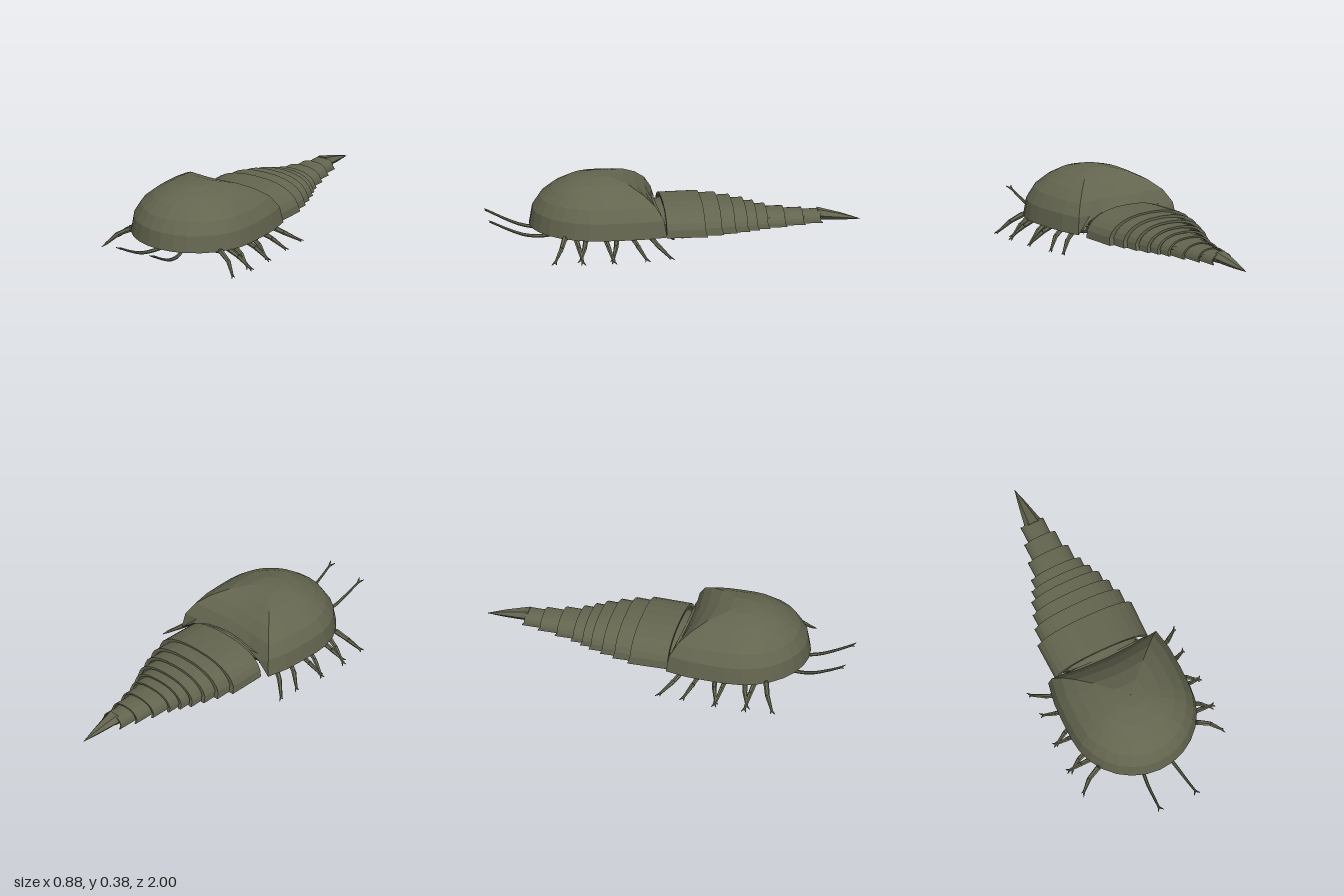
import * as THREE from 'three';

const shell = new THREE.MeshStandardMaterial({ color: 0x63654f, flatShading: true, side: THREE.DoubleSide });
shell.name = 'olive shell';
const V = (x, y, z) => new THREE.Vector3(x, y, z);

// Skin a list of equal-length closed rings; ends may be capped with fans
function loft(name, rings, capStart = true, capEnd = true) {
  const pos = [], n = rings[0].length;
  const tri = (...pts) => pts.forEach(p => pos.push(p.x, p.y, p.z));
  for (let k = 0; k < rings.length - 1; k++) {
    const a = rings[k], b = rings[k + 1];
    for (let i = 0; i < n; i++) {
      const j = (i + 1) % n;
      tri(a[i], a[j], b[j]);
      tri(a[i], b[j], b[i]);
    }
  }
  const cap = (r, flip) => {
    for (let i = 1; i < n - 1; i++) flip ? tri(r[0], r[i + 1], r[i]) : tri(r[0], r[i], r[i + 1]);
  };
  if (capStart) cap(rings[0], true);
  if (capEnd) cap(rings[rings.length - 1], false);
  const g = new THREE.BufferGeometry();
  g.setAttribute('position', new THREE.Float32BufferAttribute(pos, 3));
  g.computeVertexNormals();
  const m = new THREE.Mesh(g, shell);
  m.name = name;
  return m;
}

// Tapered limb through points, with one radius per point
function limb(name, pts, radii, flat = 1, sides = 6) {
  return loft(name, pts.map((p, k) => {
    const t = pts[Math.min(k + 1, pts.length - 1)].clone().sub(pts[Math.max(k - 1, 0)]).normalize();
    const u = V(0, 1, 0).cross(t).normalize(), v = t.clone().cross(u);
    return Array.from({ length: sides }, (_, i) => {
      const a = i / sides * Math.PI * 2;
      return p.clone().addScaledVector(u, Math.cos(a) * radii[k]).addScaledVector(v, Math.sin(a) * radii[k] * flat);
    });
  }));
}

// Two-pronged tip
function fork(name, tip, dir, spread, len) {
  const g = new THREE.Group();
  g.name = name;
  for (const s of [-1, 1]) {
    const end = tip.clone().addScaledVector(dir, len).addScaledVector(spread, s * len * 0.6);
    g.add(limb('prong', [tip, end], [0.007, 0.0015], 1, 5));
  }
  return g;
}

// Elliptical ring in the xy plane
const ellipse = (z, w, y0, y1, n = 16) => Array.from({ length: n }, (_, i) => {
  const a = i / n * Math.PI * 2;
  return V(Math.cos(a) * w, (y0 + y1) / 2 + Math.sin(a) * (y1 - y0) / 2, z);
});

function carapace() {
  const g = new THREE.Group();
  g.name = 'carapace';
  // half outline from front middle round to rear middle
  const half = [];
  for (let i = 0; i <= 7; i++) {
    const a = i / 7 * Math.PI / 2;
    half.push([0.35 * Math.sin(a), 0.41 + 0.36 * Math.cos(a)]);
  }
  half.push([0.35, 0.3], [0.345, 0.19], [0.322, 0.07], [0.24, 0.078], [0.16, 0.088], [0.08, 0.095], [0, 0.098]);
  const outline = [...half, ...half.slice(1, -1).reverse().map(([x, z]) => [-x, z])];
  const ring = (r, y) => outline.map(([x, z]) => {
    // rear edge arches over the abdomen
    const arch = z < 0.1 && Math.abs(x) < 0.3 ? 0.11 + 0.105 * Math.sqrt(1 - (x / 0.3) ** 2) : 0;
    return V(x * r, Math.max(y, arch), 0.41 + (z - 0.41) * r);
  });
  const profile = [[1, 0.11], [0.957, 0.2], [0.843, 0.265], [0.671, 0.315], [0.457, 0.355], [0.2, 0.379], [0.001, 0.383]];
  g.add(loft('dome', profile.map(([r, y]) => ring(r, y)), false, false));
  g.add(loft('underRim', [ring(0.84, 0.125), ring(1, 0.11)], false, false));
  return g;
}

// Arched plate with swept-back lower corners
function tergite(zf, zr, w, yb, yt) {
  const rings = [], n = 14;
  for (let i = 0; i <= n; i++) {
    const a = i / n * Math.PI, c = Math.cos(a), s = Math.max(0, Math.sin(a));
    const x = Math.sign(c) * Math.abs(c) ** 0.85, y = s ** 0.85;
    const back = zr - 0.012 - (i === 0 || i === n ? 0.012 : 0);
    const p = (k, z) => V(x * w * k, yb + y * (yt - yb) * k, z);
    rings.push([p(0.985, zf), p(1, back), p(0.9, back), p(0.9, zf)]);
  }
  return loft('tergite', rings);
}

function abdomen() {
  const g = new THREE.Group();
  g.name = 'abdomen';
  // front z, rear z, half width, bottom, top
  const segs = [
    [0.065, -0.13, 0.278, 0.09, 0.237], [-0.12, -0.22, 0.252, 0.09, 0.229], [-0.21, -0.295, 0.226, 0.088, 0.216],
    [-0.285, -0.365, 0.2, 0.086, 0.2], [-0.355, -0.42, 0.172, 0.084, 0.184], [-0.41, -0.48, 0.146, 0.082, 0.168],
    [-0.47, -0.575, 0.118, 0.08, 0.155], [-0.565, -0.675, 0.091, 0.08, 0.145], [-0.665, -0.77, 0.066, 0.08, 0.138]];
  segs.forEach(s => g.add(tergite(...s)));
  g.add(loft('innerBody', [ellipse(-0.79, 0.04, 0.08, 0.13), ellipse(-0.57, 0.085, 0.08, 0.142),
    ellipse(-0.29, 0.17, 0.075, 0.18), ellipse(-0.1, 0.225, 0.07, 0.212), ellipse(0.06, 0.2, 0.07, 0.216),
    ellipse(0.13, 0.16, 0.075, 0.205)]));
  g.add(loft('tailSpine', [ellipse(-1, 0.001, 0.075, 0.077, 6), ellipse(-0.9, 0.024, 0.075, 0.112, 6),
    ellipse(-0.77, 0.05, 0.082, 0.147, 6)]));
  return g;
}

// Overlapping slanted plates and small limbs under the abdomen
function gillPlates() {
  const g = new THREE.Group();
  g.name = 'gillPlates';
  for (let i = 0; i < 9; i++) {
    const z = 0.06 - i * 0.052, k = 1 - i * 0.075, d = 1 - i * 0.07;
    const right = [[0, 0.07], [0.1, 0.055], [0.17, 0.042], [0.22, 0.015]];
    const outline = [...right.map(([x, y]) => [-x * k, y * d]), ...right.slice(1).reverse().map(([x, y]) => [x * k, y * d])];
    const shape = outline.map(([x, y]) => [x, y]);
    // lower outline left to right, then upper edge back
    const lower = [...right.slice().reverse().map(([x, y]) => [-x * k, y * d]), ...right.slice(1).map(([x, y]) => [x * k, y * d])];
    const pts = [...lower, [0.18 * k, 0], [-0.18 * k, 0]];
    const ring = dz => pts.map(([x, y]) => V(x, 0.09 - y, z + dz - y * 0.9));
    if (shape.length) g.add(loft('gillPlate', [ring(-0.008), ring(0)]));
    for (const s of [-1, 1]) {
      g.add(limb('gillLimb', [V(s * 0.02, 0.07, z - 0.01), V(s * 0.13 * k, 0.055 + i * 0.002, z - 0.025),
        V(s * 0.225 * k, 0.078, z - 0.055)], [0.012, 0.012, 0.003], 0.7));
    }
  }
  return g;
}

function walkingLegs() {
  const g = new THREE.Group();
  g.name = 'walkingLegs';
  // root z, shell edge z, tip z, tip x, tip y
  const rows = [[0.53, 0.615, 0.685, 0.42, 0.012], [0.47, 0.555, 0.53, 0.435, 0.01], [0.42, 0.5, 0.545, 0.42, 0.02],
    [0.36, 0.4, 0.365, 0.435, 0.01], [0.31, 0.335, 0.37, 0.42, 0.02], [0.25, 0.255, 0.185, 0.425, 0.012],
    [0.2, 0.16, 0.055, 0.435, 0.02]];
  for (const s of [-1, 1]) for (const [z0, z1, z2, x, y] of rows) {
    const leg = new THREE.Group();
    leg.name = 'walkingLeg';
    const knee = V(s * 0.29, 0.113, z1), ankle = V(s * 0.355, 0.078, z1 + (z2 - z1) * 0.35);
    const tip = V(s * (x - 0.015), y + 0.012, z2 - (z2 - z1) * 0.12);
    leg.add(limb('thigh', [V(s * 0.03, 0.075, z0), V(s * 0.12, 0.088, z0 + (z1 - z0) * 0.35), V(s * 0.21, 0.105, z0 + (z1 - z0) * 0.7), knee],
      [0.016, 0.022, 0.02, 0.013]));
    leg.add(limb('shin', [knee, ankle], [0.015, 0.012]));
    leg.add(limb('foot', [ankle, tip], [0.013, 0.007]));
    leg.add(fork('claw', tip, tip.clone().sub(ankle).normalize(), V(0, 0, 1), 0.022));
    // feathery upper branch with short spines
    leg.add(limb('gillBranch', [V(s * 0.06, 0.095, z0 - 0.02), V(s * 0.16, 0.11, z0 - 0.035), V(s * 0.26, 0.115, z0 - 0.03)],
      [0.012, 0.022, 0.005], 0.3));
    for (let i = 0; i < 5; i++) {
      const bx = s * (0.14 + i * 0.028);
      leg.add(limb('spine', [V(bx, 0.11, z0 - 0.035), V(bx + s * 0.012, 0.088, z0 - 0.055)], [0.004, 0.001], 1, 4));
    }
    g.add(leg);
  }
  return g;
}

function antennae() {
  const g = new THREE.Group();
  g.name = 'antennae';
  for (const s of [-1, 1]) {
    const curve = new THREE.CatmullRomCurve3([V(s * 0.03, 0.1, 0.56), V(s * 0.05, 0.078, 0.62), V(s * 0.075, 0.068, 0.7),
      V(s * 0.092, 0.08, 0.8), V(s * 0.1, 0.115, 0.89), V(s * 0.107, 0.156, 0.972)]);
    const pts = curve.getPoints(14);
    g.add(limb('antenna', pts, pts.map((_, i) => 0.013 - i * 0.0005)));
    g.add(fork('antennaTip', pts[14], V(0, 0.4, 0.9).normalize(), V(1, 0, 0), 0.028));
  }
  return g;
}

export function createModel() {
  const model = new THREE.Group();
  model.name = 'trilobiteLikeCreature';
  model.add(carapace(), abdomen(), gillPlates(), walkingLegs(), antennae());
  // soft body and mouth plate under the dome
  model.add(loft('underBody', [ellipse(0.08, 0.15, 0.075, 0.2), ellipse(0.3, 0.13, 0.075, 0.2),
    ellipse(0.5, 0.1, 0.078, 0.19), ellipse(0.64, 0.04, 0.09, 0.15)]));
  model.add(loft('mouthPlate', [ellipse(0.46, 0.015, 0.07, 0.09, 8), ellipse(0.52, 0.045, 0.06, 0.1, 8),
    ellipse(0.58, 0.05, 0.065, 0.11, 8), ellipse(0.64, 0.02, 0.085, 0.11, 8)]));
  return model;
}
